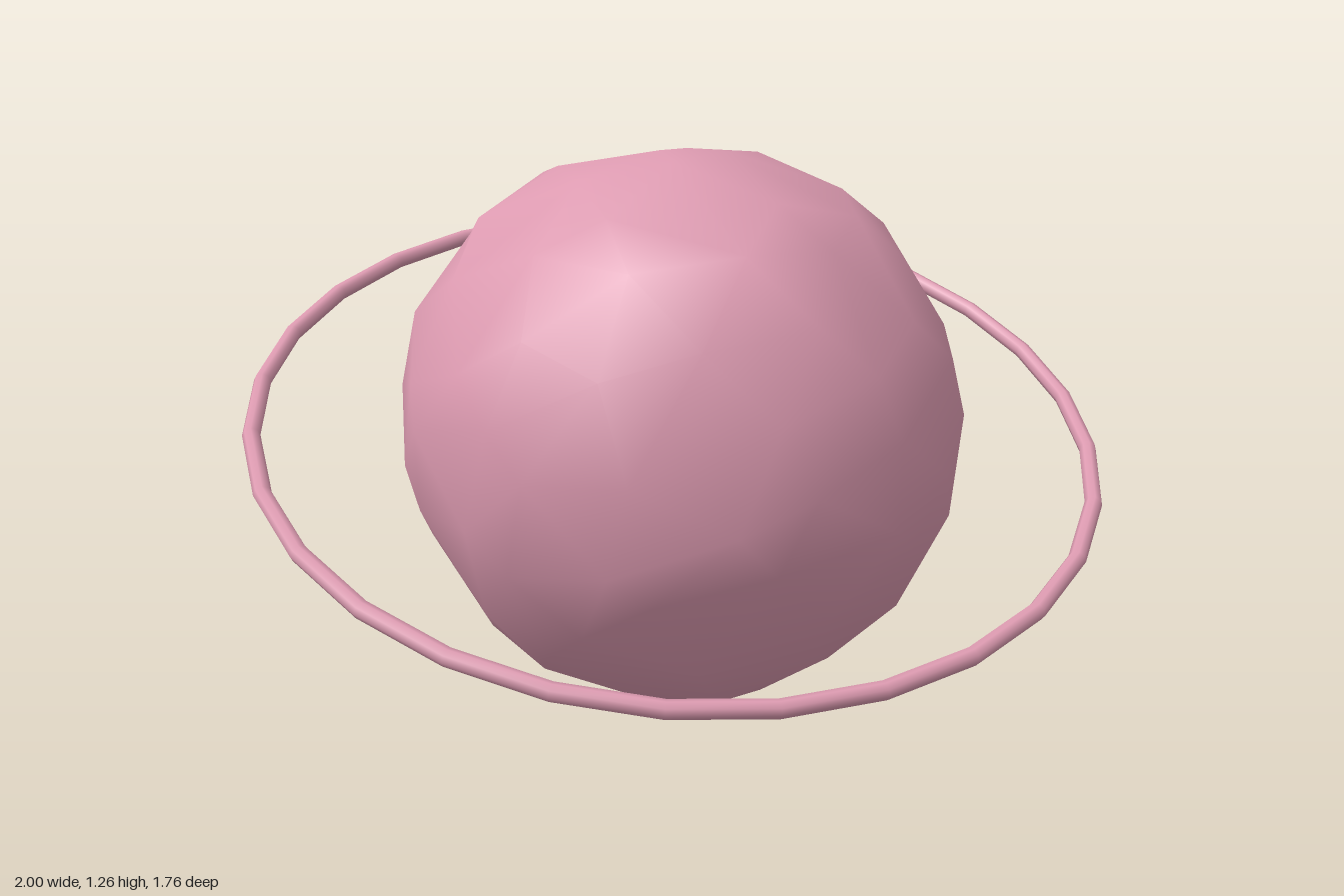
import * as THREE from 'three';
import { mergeVertices } from 'three/addons/utils/BufferGeometryUtils.js';
import { ConvexGeometry } from 'three/addons/geometries/ConvexGeometry.js';

const CENTER_Y = 0.64;

// Small seeded generator for the uneven rock surface
function seeded(seed) {
  return () => {
    seed = (seed * 16807) % 2147483647;
    return seed / 2147483647;
  };
}

// Coarse rocky ball: evenly spread, jittered points joined into a skin, then dented
function rockyBall(count, radius) {
  const random = seeded(4271);
  const jitter = (amount) => (random() - 0.5) * 2 * amount;
  const points = [];
  for (let i = 0; i < count; i++) {
    const y = 1 - (2 * (i + 0.5)) / count;
    const r = Math.sqrt(1 - y * y);
    const a = i * Math.PI * (3 - Math.sqrt(5));
    const p = new THREE.Vector3(r * Math.cos(a), y, r * Math.sin(a));
    p.add(new THREE.Vector3(jitter(0.09), jitter(0.09), jitter(0.09)));
    points.push(p.setLength(radius));
  }
  let geometry = new ConvexGeometry(points);
  geometry.deleteAttribute('normal');
  geometry = mergeVertices(geometry, 1e-4);

  // Uneven radius, with slightly flattened extremes
  const pos = geometry.attributes.position;
  const v = new THREE.Vector3();
  for (let i = 0; i < pos.count; i++) {
    v.fromBufferAttribute(pos, i).multiplyScalar(1 + jitter(0.016));
    v.x = THREE.MathUtils.clamp(v.x, -0.645, 0.645);
    v.y = THREE.MathUtils.clamp(v.y, -0.635, 0.63);
    v.z = THREE.MathUtils.clamp(v.z, -0.65, 0.64);
    pos.setXYZ(i, v.x, v.y, v.z);
  }
  geometry.computeVertexNormals();
  return geometry;
}

export function createModel() {
  const group = new THREE.Group();
  group.name = 'ringedPlanet';
  const pink = new THREE.MeshStandardMaterial({ color: 0xdc9ab0 });
  pink.name = 'dustyPink';

  // Planet body
  const planet = new THREE.Mesh(rockyBall(130, 0.655), pink);
  planet.name = 'planet';
  planet.position.y = CENTER_Y;
  group.add(planet);

  // Thin, slightly oval ring, high at the back and low at the front
  const ringGeometry = new THREE.TorusGeometry(0.978, 0.02, 8, 28);
  ringGeometry.rotateX(Math.PI / 2);
  ringGeometry.scale(1, 1, 0.968);
  const ring = new THREE.Mesh(ringGeometry, pink);
  ring.name = 'ring';
  ring.position.y = 0.65;
  ring.rotation.x = THREE.MathUtils.degToRad(24.4);
  group.add(ring);

  return group;
}
